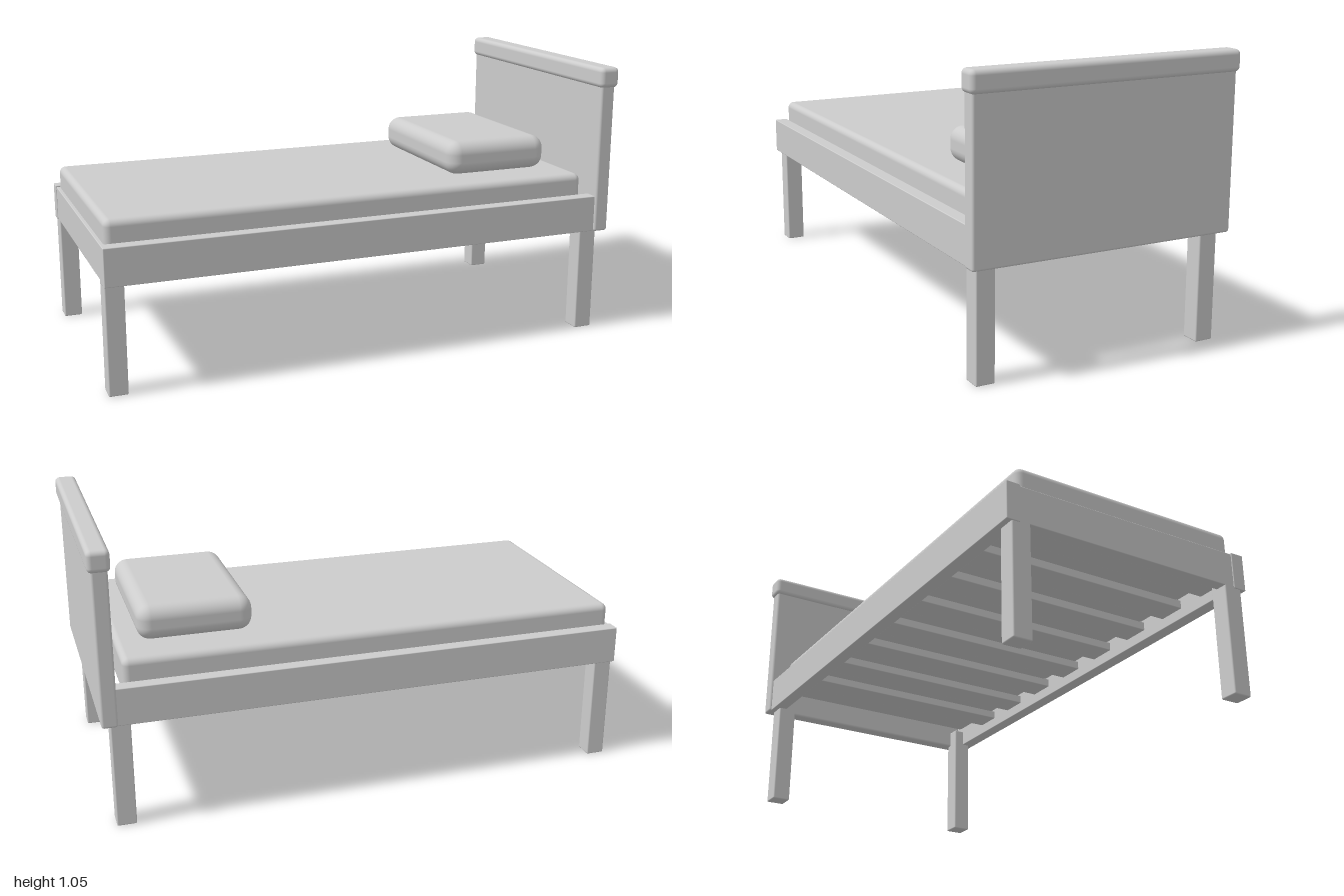
import * as THREE from 'three';
import { RoundedBoxGeometry } from 'three/addons/geometries/RoundedBoxGeometry.js';

export function createModel() {
  const bed = new THREE.Group();
  bed.name = 'bed';
  const grey = new THREE.MeshStandardMaterial({ color: 0xcccccc });
  grey.name = 'plain grey';

  // Rounded block given by its extents along each axis
  function block(name, [x0, x1], [y0, y1], [z0, z1], radius = 0.005, segments = 2) {
    const geometry = new RoundedBoxGeometry(x1 - x0, y1 - y0, z1 - z0, segments, radius);
    const mesh = new THREE.Mesh(geometry, grey);
    mesh.name = name;
    mesh.position.set((x0 + x1) / 2, (y0 + y1) / 2, (z0 + z1) / 2);
    bed.add(mesh);
  }

  // Headboard with its cap
  block('headboardPanel', [0.93, 0.988], [0.404, 0.985], [-0.505, 0.505], 0.009);
  block('headboardCap', [0.92, 1.0], [0.972, 1.05], [-0.515, 0.515], 0.018, 3);

  // Side rails and legs, mirrored
  for (const [side, s] of [['left', 1], ['right', -1]]) {
    const across = (a, b) => [Math.min(s * a, s * b), Math.max(s * a, s * b)];
    block(side + 'SideRail', [-1.0, 0.94], [0.405, 0.545], across(0.444, 0.496), 0.003);
    block(side + 'FootLeg', [-0.997, -0.927], [0, 0.47], across(0.404, 0.475));
    block(side + 'HeadLeg', [0.883, 0.955], [0, 0.47], across(0.404, 0.475));
  }

  // Foot rail between the side rails
  block('footRail', [-0.997, -0.952], [0.408, 0.54], [-0.446, 0.446], 0.003);

  // Slats under the mattress
  for (let i = 0; i < 8; i++) {
    const edge = 0.71 - i * 0.219;
    block('slat', [edge - 0.11, edge], [0.445, 0.478], [-0.446, 0.446], 0.003);
  }

  // Bedding
  block('mattress', [-0.984, 0.897], [0.475, 0.627], [-0.445, 0.445], 0.025, 3);
  block('pillow', [0.393, 0.817], [0.627, 0.758], [-0.313, 0.31], 0.05, 4);

  return bed;
}
